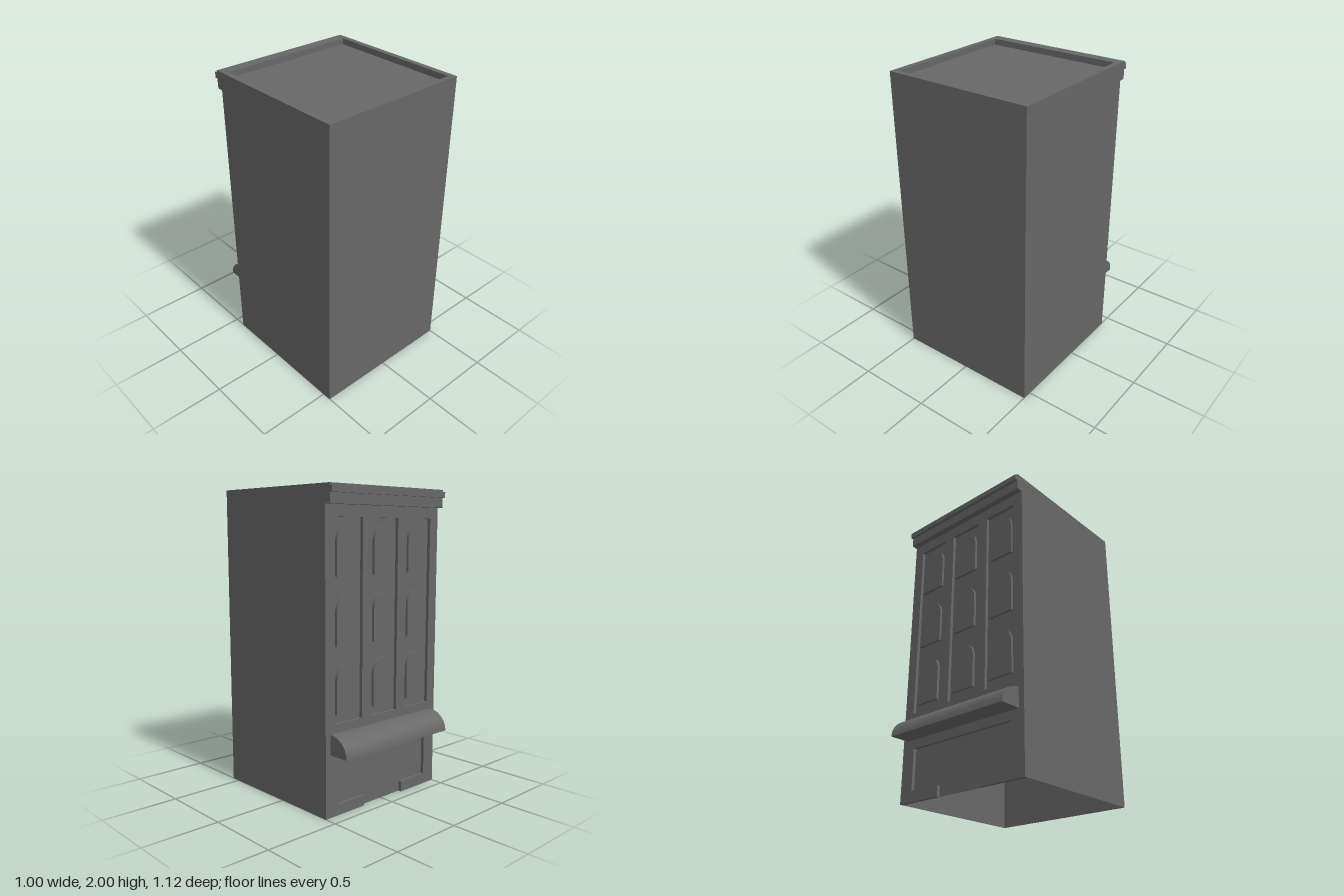
import * as THREE from 'three';
import { toCreasedNormals } from 'three/addons/utils/BufferGeometryUtils.js';

const material = new THREE.MeshStandardMaterial({ color: 0x676767, side: THREE.DoubleSide });

// Sizes shared by the parts
const HALF = 0.502, FRONT = 0.56, FACADE = -0.42, RECESS = 0.022;
const WALL = FACADE + RECESS; // plane of the wall behind the facade
const ROOF = 1.96, TOP = 2;

export function createModel() {
  const model = new THREE.Group();

  const add = (name, geometry, parent = model) => {
    const mesh = new THREE.Mesh(geometry, material);
    mesh.name = name;
    parent.add(mesh);
    return mesh;
  };
  const box = (name, x0, x1, y0, y1, z0, z1) => {
    const mesh = add(name, new THREE.BoxGeometry(x1 - x0, y1 - y0, z1 - z0));
    mesh.position.set((x0 + x1) / 2, (y0 + y1) / 2, (z0 + z1) / 2);
    return mesh;
  };
  const polygon = (points, Type = THREE.Shape) =>
    new Type(points.map(([x, y]) => new THREE.Vector2(x, y)));
  const rectangle = (x0, x1, y0, y1, Type) =>
    polygon([[x0, y0], [x1, y0], [x1, y1], [x0, y1]], Type);
  const extrude = (shape, depth, curveSegments = 8) =>
    new THREE.ExtrudeGeometry(shape, { depth, curveSegments, bevelEnabled: false });

  // Hollow main block up to the roof deck, left open underneath
  const shell = box('body', -HALF, HALF, 0, ROOF, WALL, FRONT).geometry;
  shell.setIndex([...shell.index.array].filter((_, i) => i < 18 || i >= 24));
  shell.clearGroups();

  // Raised rim around the roof
  const rim = rectangle(-HALF, HALF, -FRONT, -WALL);
  rim.holes.push(rectangle(-0.465, 0.465, -0.525, 0.389, THREE.Path));
  add('parapet', extrude(rim, TOP - ROOF).rotateX(-Math.PI / 2)).position.y = ROOF;

  // Facade skin: outline notched by the doorway and shop front below,
  // with three tall panels cut out above
  const columns = [-0.313, 0, 0.313];
  const sill = 0.07, door = 0.175, shop = 0.405, lintel = 0.34;
  const skin = polygon([
    [-HALF, 0], [-door, 0], [-door, sill], [-shop, sill], [-shop, lintel],
    [shop, lintel], [shop, sill], [door, sill], [door, 0], [HALF, 0],
    [HALF, TOP], [-HALF, TOP],
  ]);
  for (const x of columns) {
    skin.holes.push(rectangle(x - 0.115, x + 0.115, 0.58, 1.813, THREE.Path));
  }
  add('facade', extrude(skin, RECESS)).position.z = FACADE;

  // Arched windows standing out from the panels
  const radius = 0.092, straight = 0.213, relief = 0.018;
  const arch = new THREE.Shape();
  arch.moveTo(-radius, 0);
  arch.lineTo(radius, 0);
  arch.lineTo(radius, straight);
  arch.absarc(0, straight, radius, 0, Math.PI, false);
  arch.lineTo(-radius, 0);
  const windowGeometry = extrude(arch, relief, 5);
  const windows = new THREE.Group();
  windows.name = 'windows';
  model.add(windows);
  for (const x of columns) {
    for (let floor = 0; floor < 3; floor++) {
      add('window', windowGeometry, windows).position.set(x, 0.635 + floor * 0.416, WALL - relief);
    }
  }

  // Cornice and its projecting moulding
  box('cornice', -HALF, HALF, 1.885, TOP, -0.46, FACADE);
  box('corniceMoulding', -HALF, HALF, 1.948, 1.985, -0.48, -0.46);

  // Quarter-round awning over the shop front
  const quarter = new THREE.Shape();
  quarter.moveTo(0, 0);
  quarter.lineTo(0.14, 0);
  quarter.absellipse(0, 0, 0.14, 0.128, 0, Math.PI / 2, false, 0);
  quarter.lineTo(0, 0);
  const awning = extrude(quarter, 0.926, 3).rotateY(Math.PI / 2); // profile now faces -z
  add('awning', toCreasedNormals(awning, 0.6)).position.set(-0.463, 0.398, FACADE);

  return model;
}
